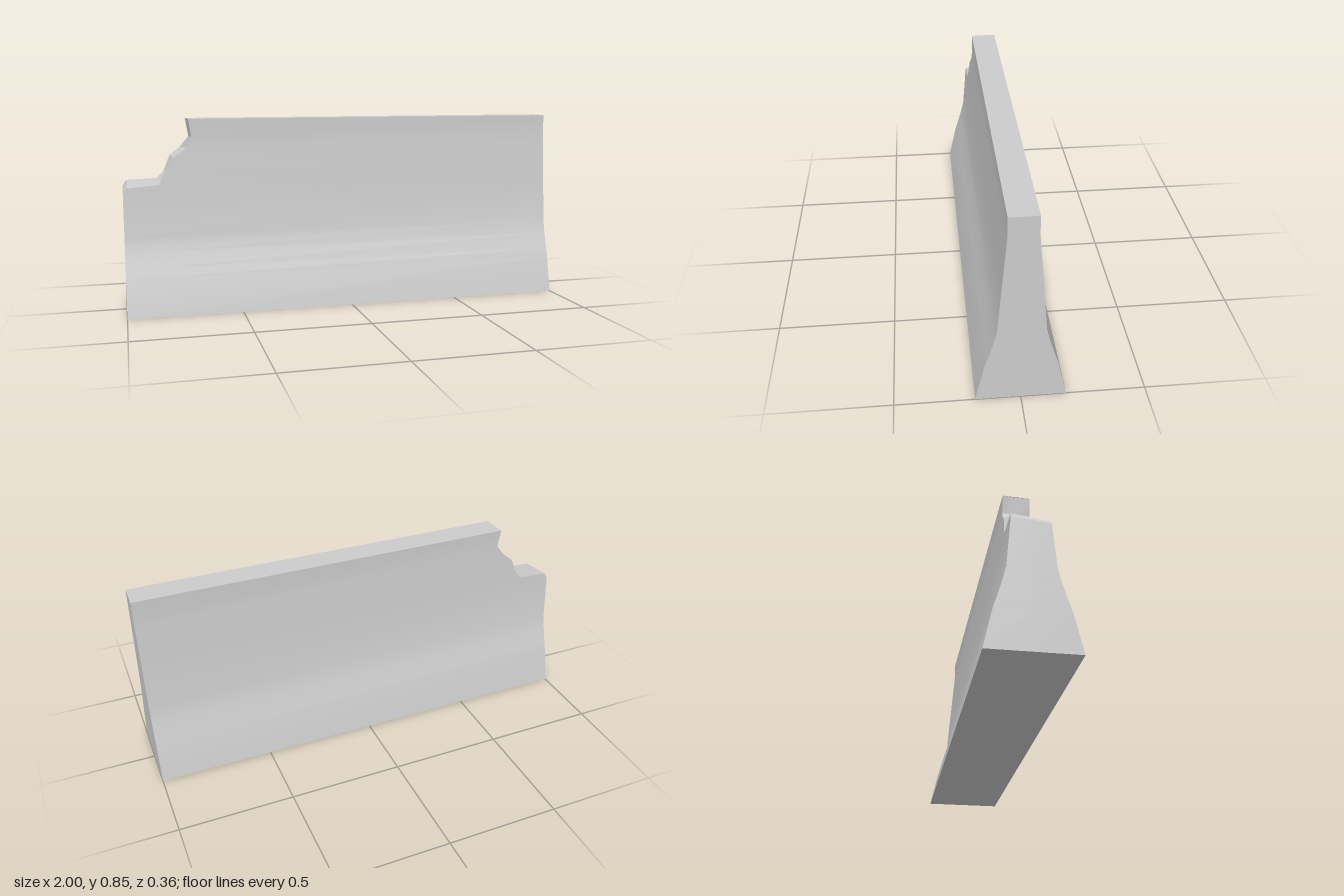
import * as THREE from 'three';
import { toCreasedNormals } from 'three/addons/utils/BufferGeometryUtils.js';

// Half-thickness of the barrier at chosen heights: [y, half width]
const PROFILE = [[0, 0.181], [0.165, 0.144], [0.205, 0.131], [0.276, 0.11], [0.337, 0.095], [0.77, 0.058], [0.85, 0.058]];

function halfWidth(y) {
  for (let i = 1; i < PROFILE.length; i++) {
    const [y0, w0] = PROFILE[i - 1], [y1, w1] = PROFILE[i];
    if (y <= y1) return w0 + (w1 - w0) * (y - y0) / (y1 - y0);
  }
  return PROFILE[PROFILE.length - 1][1];
}

// Broken upper corner, as [x, y] steps along the front face, the core and the back face
const BREAK_FRONT = [[-1, 0.535], [-0.985, 0.555], [-0.845, 0.565], [-0.83, 0.6], [-0.79, 0.675], [-0.73, 0.715], [-0.7, 0.77], [-0.712, 0.85]];
const BREAK_CORE = [[-1, 0.545], [-0.98, 0.568], [-0.81, 0.574], [-0.785, 0.62], [-0.775, 0.675], [-0.72, 0.72], [-0.705, 0.77], [-0.712, 0.85]];
const BREAK_BACK = [[-1, 0.55], [-0.985, 0.575], [-0.85, 0.58], [-0.82, 0.61], [-0.79, 0.685], [-0.745, 0.72], [-0.705, 0.77], [-0.718, 0.85]];

function createBarrier() {
  // Left edge paths: the intact lower profile followed by the break
  const lower = PROFILE.slice(0, 5).map(([y]) => [-1, y]);
  const path = (steps, side) => [...lower, ...steps].map(([x, y]) => [x, y, side * halfWidth(y)]);
  const front = path(BREAK_FRONT, 1), core = path(BREAK_CORE, 0), back = path(BREAK_BACK, -1);
  const rightEnd = (p) => [1, p[1], p[2]];

  const positions = [];
  const tri = (a, b, c) => positions.push(...a, ...b, ...c);
  const quad = (a, b, c, d) => { tri(a, b, c); tri(a, c, d); };

  const top = front.length - 1;
  for (let i = 0; i < top; i++) {
    const f = front[i], f1 = front[i + 1], b = back[i], b1 = back[i + 1], m = core[i], m1 = core[i + 1];
    quad(f, rightEnd(f), rightEnd(f1), f1); // front wall
    quad(rightEnd(b), b, b1, rightEnd(b1)); // back wall
    quad(rightEnd(f), rightEnd(b), rightEnd(b1), rightEnd(f1)); // right end
    quad(m, f, f1, m1); // left end and break, front half
    quad(b, m, m1, b1); // left end and break, back half
  }

  // Top and underside
  quad(front[top], rightEnd(front[top]), rightEnd(back[top]), back[top]);
  tri(front[top], back[top], core[top]);
  quad(back[0], rightEnd(back[0]), rightEnd(front[0]), front[0]);

  const geometry = new THREE.BufferGeometry();
  geometry.setAttribute('position', new THREE.Float32BufferAttribute(positions, 3));
  const mesh = new THREE.Mesh(toCreasedNormals(geometry, 0.35), new THREE.MeshStandardMaterial({ color: 0xcccccc }));
  mesh.name = 'brokenConcreteBarrier';
  return mesh;
}

export function createModel() {
  const group = new THREE.Group();
  group.name = 'roadBarrier';
  group.add(createBarrier());
  return group;
}
